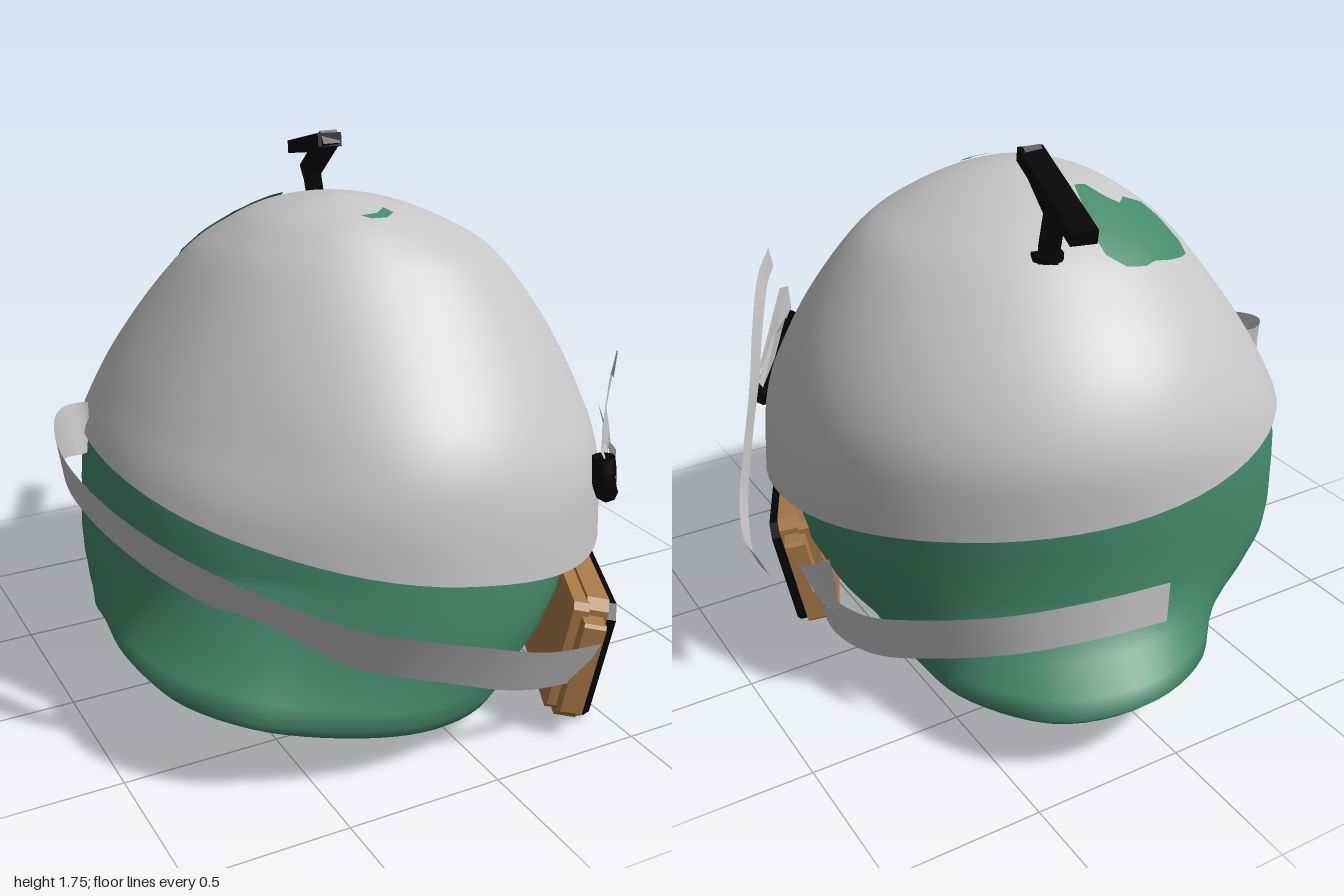
import * as THREE from 'three';

const mat = (name, color) => new THREE.MeshStandardMaterial({ name, color, side: THREE.DoubleSide });
const grey = mat('light grey', 0xc6c6c6);
const green = mat('green', 0x448a69);
const black = mat('black', 0x050505);
const brown = mat('brown', 0xa87a46);

// Dome table: radii in eight directions (+x towards +z) for each height
const CX = -0.08, CZ = 0.08;
const HEIGHT = [0.5, 0.8, 1.0, 1.2, 1.4, 1.5, 1.58, 1.62, 1.58];
const RADII = [
  [0.88, 0.88, 0.84, 0.78, 0.82, 0.91, 0.92, 0.90],
  [0.86, 0.86, 0.81, 0.73, 0.77, 0.90, 0.92, 0.90],
  [0.81, 0.78, 0.74, 0.63, 0.68, 0.82, 0.89, 0.87],
  [0.71, 0.66, 0.58, 0.51, 0.56, 0.69, 0.78, 0.75],
  [0.56, 0.50, 0.40, 0.37, 0.42, 0.52, 0.57, 0.56],
  [0.41, 0.37, 0.30, 0.28, 0.32, 0.39, 0.42, 0.42],
  [0.22, 0.20, 0.18, 0.17, 0.19, 0.23, 0.25, 0.24],
  [0, 0, 0, 0, 0, 0, 0, 0],
];
RADII.push(RADII[6].map((r) => -r));
const RIM = [0.61, 0.53, 0.63, 0.74, 0.83, 0.86, 0.79, 0.72];
// Lower body radius as a share of the dome radius, in the same directions
const SHARE = [0.9, 0.89, 0.94, 0.975, 0.975, 0.972, 0.97, 0.95];

const cubic = (a, b, c, d, t) =>
  b + 0.5 * t * (c - a + t * (2 * a - 5 * b + 4 * c - d + t * (3 * (b - c) + d - a)));
function around(list, angle) {
  const u = ((angle / (Math.PI * 2)) % 1 + 1) % 1 * 8, i = Math.floor(u);
  const g = (k) => list[(i + k + 8) % 8];
  return cubic(g(-1), g(0), g(1), g(2), u - i);
}
function along(f, s) {
  const i = Math.min(6, Math.floor(s));
  return cubic(f(Math.max(0, i - 1)), f(i), f(i + 1), f(i + 2), s - i);
}
const heightAt = (s) => along((i) => HEIGHT[i], s);
const radiusAt = (a, s) => along((i) => around(RADII[i], a), s);
function solve(f) { // f turns from true to false as s grows
  let lo = 0, hi = 7;
  for (let i = 0; i < 30; i++) { const m = (lo + hi) / 2; if (f(m)) lo = m; else hi = m; }
  return lo;
}
const levelOf = (y) => solve((s) => heightAt(s) < y);
function surfaceY(x, z) {
  const a = Math.atan2(z - CZ, x - CX), r = Math.hypot(x - CX, z - CZ);
  return heightAt(solve((s) => radiusAt(a, s) > r));
}

// Join rings of points (listed from bottom to top) into a smooth skin
function loft(rings, closed = true) {
  const n = rings[0].length, pos = rings.flat(2), idx = [];
  for (let i = 0; i < rings.length - 1; i++)
    for (let j = 0; j < (closed ? n : n - 1); j++) {
      const a = i * n + j, b = i * n + (j + 1) % n;
      idx.push(a, a + n, b, b, a + n, b + n);
    }
  const g = new THREE.BufferGeometry();
  g.setAttribute('position', new THREE.Float32BufferAttribute(pos, 3));
  g.setIndex(idx);
  g.computeVertexNormals();
  return g;
}
const curveOf = (pts, closed = false) =>
  new THREE.CatmullRomCurve3(pts.map((p) => new THREE.Vector3(...p)), closed);

// Flat band along a path, facing away from the middle axis, its top edge tipping outwards
function ribbon(pts, width, tip) {
  const c = curveOf(pts), N = 40, rings = [[], []];
  for (let i = 0; i <= N; i++) {
    const u = i / N, p = c.getPoint(u), t = c.getTangent(u);
    const out = new THREE.Vector3(p.x, 0, p.z).normalize().setY(-tip * Math.min(1, 2 * u));
    const w = new THREE.Vector3().crossVectors(t, out).normalize().multiplyScalar(width / 2);
    rings[0].push(p.clone().sub(w).toArray());
    rings[1].push(p.clone().add(w).toArray());
  }
  return loft(rings, false);
}

// Thin faceted plate through its corner points
function plate(pts) {
  const mid = [0, 1, 2].map((k) => pts.reduce((s, p) => s + p[k], 0) / pts.length);
  const pos = pts.flatMap((p, i) => [...mid, ...p, ...pts[(i + 1) % pts.length]]);
  const g = new THREE.BufferGeometry();
  g.setAttribute('position', new THREE.Float32BufferAttribute(pos, 3));
  g.computeVertexNormals();
  return g;
}

// Patch draped over the dome
function drape(outline, cx, cz) {
  const rings = [];
  for (let k = 0; k <= 8; k++)
    rings.push(outline.map(([x, z]) => {
      const f = Math.max(0.001, 1 - k / 8), px = cx + (x - cx) * f, pz = cz + (z - cz) * f;
      return [px, surfaceY(px, pz) + 0.007, pz];
    }));
  return loft(rings);
}

function bar(a, b, w, h) {
  const A = new THREE.Vector3(...a), B = new THREE.Vector3(...b);
  const m = new THREE.Mesh(new THREE.BoxGeometry(w, h, A.distanceTo(B) + 0.04), black);
  m.position.copy(A).add(B).multiplyScalar(0.5);
  m.lookAt(B);
  return m;
}

// Slab with cut corners, facing +z
function slab(w, h, d, cut) {
  const x = w / 2, y = h / 2, s = new THREE.Shape();
  s.setFromPoints([[-x + cut, -y], [x - cut, -y], [x, -y + cut], [x, y - cut], [x - cut, y],
    [-x + cut, y], [-x, y - cut], [-x, -y + cut]].map((p) => new THREE.Vector2(...p)));
  return new THREE.ExtrudeGeometry(s, { depth: d, bevelEnabled: false });
}

export function createModel() {
  const model = new THREE.Group();
  const add = (name, geo, material, parent = model) => {
    const m = new THREE.Mesh(geo, material);
    m.name = name;
    parent.add(m);
    return m;
  };

  // Helmet shell with a sloping rim
  const shell = [], SEG = 72, ROWS = 36;
  for (let k = 0; k <= ROWS; k++) {
    const ring = [];
    for (let j = 0; j < SEG; j++) {
      const a = j / SEG * Math.PI * 2, s0 = levelOf(around(RIM, a));
      const s = Math.min(6.995, s0 + (7 - s0) * k / ROWS), r = radiusAt(a, s);
      ring.push([CX + Math.cos(a) * r, heightAt(s), CZ + Math.sin(a) * r]);
    }
    shell.push(ring);
  }
  add('helmetShell', loft(shell), grey);

  // Green lower body with an uneven flared lip and a bulge on its front right
  const lip = curveOf([[0.55, 0.16, 0], [0.46, 0.14, 0.35], [0.3, 0.13, 0.61], [0.1, 0.14, 0.78],
    [-0.1, 0.165, 0.86], [-0.3, 0.2, 0.88], [-0.55, 0.24, 0.82], [-0.72, 0.28, 0.75],
    [-0.87, 0.31, 0.57], [-0.92, 0.33, 0.33], [-0.89, 0.31, 0.05], [-0.86, 0.28, -0.15],
    [-0.74, 0.26, -0.35], [-0.55, 0.26, -0.54], [-0.32, 0.25, -0.74], [-0.15, 0.24, -0.91],
    [0.11, 0.245, -1], [0.37, 0.23, -0.92], [0.55, 0.21, -0.64], [0.57, 0.18, -0.35]],
  true).getSpacedPoints(96).slice(0, 96);
  const body = [[0.001, 0.01], [0.6, 0], [0.88, -0.055], [0.96, -0.045]].map(([f, dy]) =>
    lip.map((p) => [CX + (p.x - CX) * f, f < 0.5 ? 0.2 : p.y + dy, CZ + (p.z - CZ) * f]));
  const bearing = (p) => Math.atan2(p.z - CZ, p.x - CX);
  const bulge = (p) => Math.max(0, Math.cos(bearing(p) - 2.35)) ** 8;
  const wall = (p, y, mix) => {
    const a = bearing(p), r = radiusAt(a, levelOf(Math.max(0.501, y))) * around(SHARE, a);
    return [THREE.MathUtils.lerp(CX + Math.cos(a) * r, p.x, mix), y,
      THREE.MathUtils.lerp(CZ + Math.sin(a) * r, p.z, mix)];
  };
  for (const [t, mix, extra] of [[1, 1, 0], [0.85, 0.8, 0], [0.6, 0.36, 0.12], [0.3, 0.08, 0.16], [0, 0, 0]])
    body.push(lip.map((p) =>
      wall(p, THREE.MathUtils.lerp(0.5 + 0.12 * bulge(p), p.y, t), mix + extra * bulge(p))));
  for (const y of [0.65, 0.73, 0.82, 0.9, 1]) body.push(lip.map((p) => wall(p, y, 0)));
  body.push(lip.map(() => [CX, 1.05, CZ]));
  add('lowerBody', loft(body), green);

  // Green patches on the crown
  add('crownPatch', drape([[-0.44, -0.32], [-0.43, -0.37], [-0.39, -0.4], [-0.33, -0.43], [-0.25, -0.45],
    [-0.2, -0.47], [-0.13, -0.47], [-0.08, -0.43], [-0.08, -0.37], [-0.1, -0.3], [-0.14, -0.16],
    [-0.18, -0.16], [-0.22, -0.22], [-0.26, -0.24], [-0.3, -0.2], [-0.38, -0.19], [-0.41, -0.24]],
  -0.24, -0.34), green);
  add('smallPatch', drape([[-0.08, 0.26], [-0.02, 0.255], [0.02, 0.22], [0.04, 0.25], [0, 0.28],
    [-0.05, 0.28]], -0.01, 0.262), green);

  // Straps
  add('frontStrap', ribbon([[-0.82, 0.87, -0.22], [-0.92, 0.87, -0.19], [-0.97, 0.83, -0.04],
    [-0.95, 0.77, 0.15], [-0.85, 0.69, 0.43], [-0.65, 0.58, 0.65], [-0.4, 0.48, 0.85],
    [-0.1, 0.39, 0.93], [0.15, 0.31, 0.95], [0.37, 0.27, 0.93]], 0.17, 0.45), grey);
  add('sideStrap', ribbon([[-0.05, 0.47, -0.86], [0.18, 0.48, -0.84], [0.41, 0.44, -0.73],
    [0.6, 0.35, -0.5], [0.69, 0.25, -0.25], [0.71, 0.21, 0], [0.63, 0.23, 0.23]], 0.14, 0), grey);
  add('looseStrap', ribbon([[0.52, 1.17, 0.77], [0.6, 1.13, 0.66], [0.67, 1, 0.56], [0.73, 0.85, 0.47],
    [0.8, 0.67, 0.39], [0.87, 0.53, 0.28], [0.93, 0.47, 0.1], [0.95, 0.5, -0.09]], 0.08, 0.4), grey);

  // Side buckle: half cup and upright leaf
  add('buckleCup', plate([[0.77, 0.36, 0.07], [0.79, 0.35, -0.08], [0.79, 0.36, -0.25],
    [0.77, 0.3, -0.22], [0.75, 0.26, -0.15], [0.75, 0.25, -0.07], [0.75, 0.31, 0.03]]), grey);
  add('buckleLeaf', plate([[0.78, 0.37, 0.07], [0.78, 0.41, -0.02], [0.78, 0.54, -0.21],
    [0.78, 0.46, -0.25], [0.78, 0.35, -0.25], [0.79, 0.35, -0.1]]), grey);

  // Front clip: black crescent holding folded grey leaves
  add('clipCrescent', new THREE.TubeGeometry(curveOf([[0.45, 0.91, 0.83], [0.45, 0.82, 0.84],
    [0.52, 0.755, 0.77], [0.6, 0.725, 0.66], [0.655, 0.735, 0.59], [0.655, 0.77, 0.58]]), 24, 0.035, 8), black);
  add('clipLeaf', plate([[0.43, 0.93, 0.84], [0.44, 1.02, 0.83], [0.5, 1.05, 0.76], [0.6, 0.92, 0.66],
    [0.69, 0.82, 0.56], [0.66, 0.77, 0.58], [0.55, 0.8, 0.73], [0.48, 0.86, 0.82]]), grey);
  add('clipSmallLeaf', plate([[0.56, 1.0, 0.65], [0.64, 0.93, 0.56], [0.67, 0.84, 0.56], [0.59, 0.88, 0.68]]), grey);
  add('clipCup', plate([[0.45, 0.9, 0.86], [0.48, 0.84, 0.86], [0.56, 0.785, 0.76], [0.66, 0.77, 0.61],
    [0.68, 0.83, 0.55], [0.61, 0.85, 0.69], [0.52, 0.87, 0.8]]), grey);

  // Goggle box
  const box = new THREE.Group();
  box.name = 'goggleBox';
  box.rotation.order = 'YXZ';
  box.rotation.set(0.2, 1.13, 0);
  box.position.set(0.595, 0.212, 0.55);
  model.add(box);
  add('screen', slab(0.72, 0.41, 0.04, 0.04), black, box).position.z = -0.02;
  add('frame', slab(0.75, 0.43, 0.07, 0.03), brown, box).position.set(0, 0.012, -0.085);
  add('backFrame', slab(0.78, 0.38, 0.05, 0.02), brown, box).position.set(0, 0.025, -0.13);
  for (const s of [-1, 1])
    add('sideTab', slab(0.09, 0.32, 0.07, 0.01), brown, box).position.set(s * 0.4, 0.018, -0.1);

  // Bent lever on the crown
  const lever = new THREE.Group();
  lever.name = 'crownLever';
  const path = [[0.09, 1.45, -0.37], [0.07, 1.61, -0.38], [0.06, 1.73, -0.23], [0.16, 1.635, -0.655]];
  lever.add(bar(path[0], path[1], 0.055, 0.06), bar(path[1], path[2], 0.06, 0.05), bar(path[2], path[3], 0.08, 0.045));
  add('leverFoot', new THREE.CylinderGeometry(0.05, 0.05, 0.02, 12), black, lever).position.set(0.09, 1.465, -0.37);
  model.add(lever);

  return model;
}
